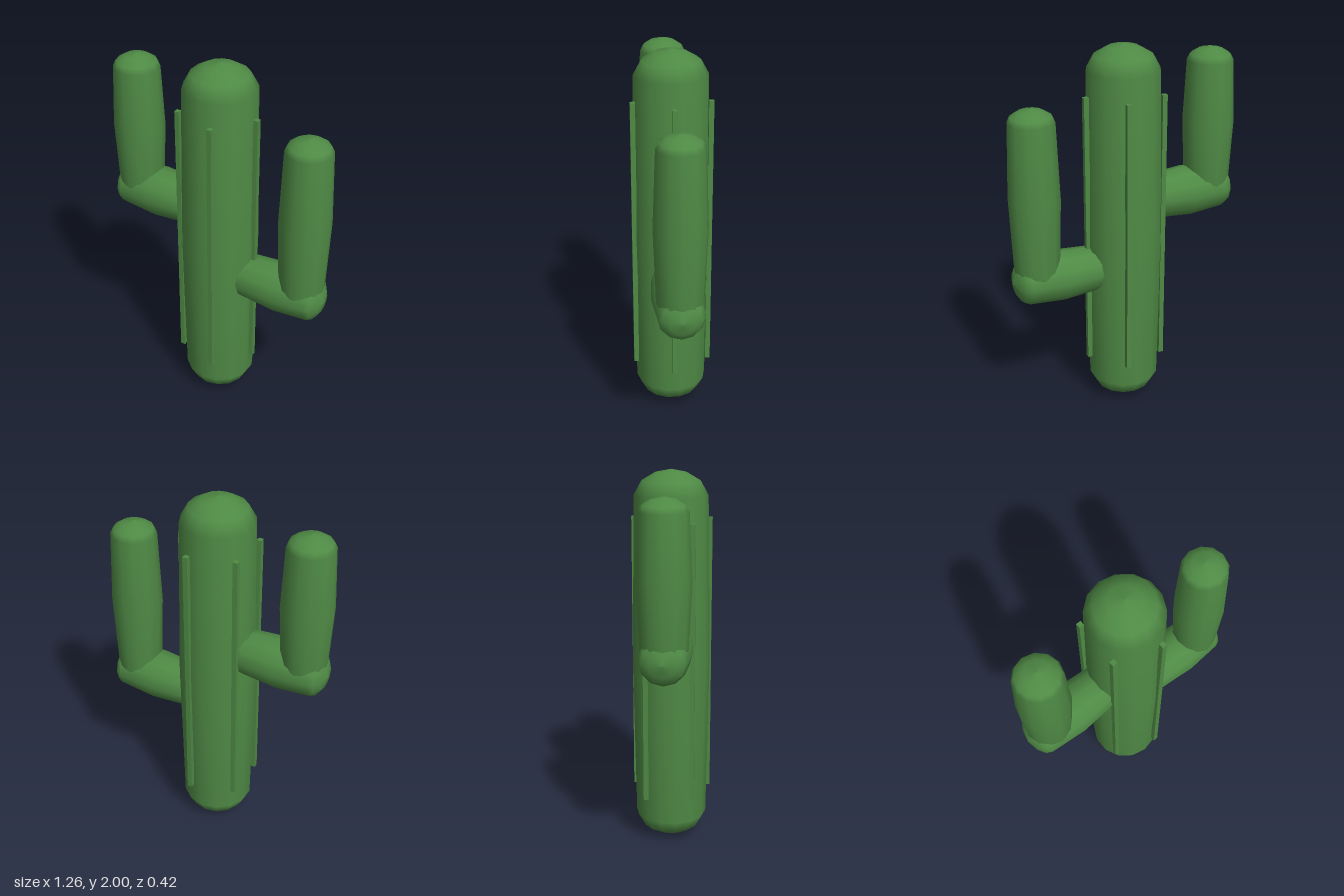
import * as THREE from 'three';

const green = new THREE.MeshStandardMaterial({ color: 0x4f8a45 });

// Round-ended column, centred on its middle, swelling slightly at mid-length.
// cap lists [radius, distance from middle] from the rim of the cap to its tip.
function column(name, cap, midRadius, sides) {
  const upper = cap.map(([r, y]) => new THREE.Vector2(r, y));
  const lower = cap.map(([r, y]) => new THREE.Vector2(r, -y)).reverse();
  const profile = [...lower, new THREE.Vector2(midRadius, 0), ...upper];
  const mesh = new THREE.Mesh(new THREE.LatheGeometry(profile, sides), green);
  mesh.name = name;
  return mesh;
}

// Arm segment of a given half length
function armColumn(name, half) {
  const cap = [[0.12, half - 0.07], [0.105, half - 0.04], [0.065, half - 0.015], [0, half]];
  return column(name, cap, 0.135, 12);
}

// Elbowed arm: a level branch out of the trunk and an upright on its end
function arm(name, side, branchY, uprightY, uprightHalf) {
  const group = new THREE.Group();
  group.name = name;
  const branch = armColumn('branch', 0.262);
  branch.rotation.z = -side * Math.PI / 2;
  branch.position.set(side * 0.368, branchY, 0);
  const upright = armColumn('upright', uprightHalf);
  upright.position.set(side * 0.495, uprightY, 0);
  group.add(branch, upright);
  return group;
}

export function createModel() {
  const cactus = new THREE.Group();
  cactus.name = 'cactus';

  // Trunk
  const trunkCap = [[0.19, 0.87], [0.15, 0.943], [0.082, 0.983], [0, 1]];
  const trunk = column('trunk', trunkCap, 0.205, 14);
  trunk.position.y = 1;
  cactus.add(trunk);

  // Arms
  cactus.add(arm('leftArm', 1, 0.805, 1.26, 0.475));
  cactus.add(arm('rightArm', -1, 1.155, 1.53, 0.4));

  // Five upright ribs, all square to the axes
  const ribGeometry = new THREE.BoxGeometry(0.026, 1.49, 0.026);
  for (let i = 0; i < 5; i++) {
    const a = (i / 5) * Math.PI * 2;
    const rib = new THREE.Mesh(ribGeometry, green);
    rib.name = 'rib' + (i + 1);
    rib.position.set(0.207 * Math.cos(a), 1.005, 0.207 * Math.sin(a));
    cactus.add(rib);
  }
  return cactus;
}
